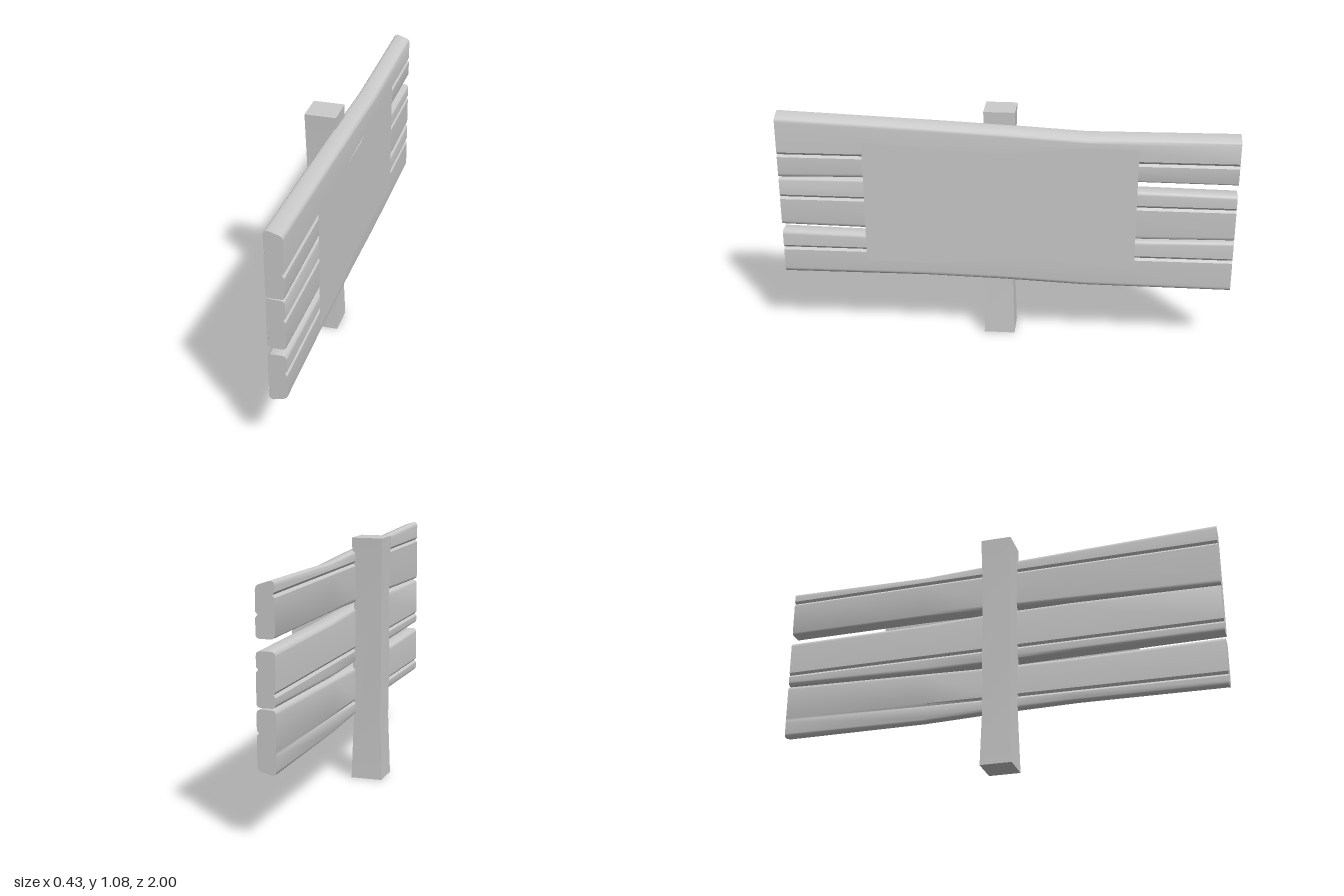
import * as THREE from 'three';
import { toCreasedNormals } from 'three/addons/utils/BufferGeometryUtils.js';

const HALF = 0.0385; // half of the plank thickness
const STATIONS = [-1.008, -0.35, 0, 0.35, 1.008]; // along the plank

const material = new THREE.MeshStandardMaterial({ color: 0xcccccc });

// Rounded plank section with a V groove on the front (+x) and the back (-x)
function plankSection({ bottom, top, front, back, backDepth, tiltTop, tiltBottom }) {
  const r = 0.018, g = 0.011, d = 0.009;
  const s = new THREE.Shape();
  const fb = bottom + tiltBottom, ft = top - tiltTop;
  s.moveTo(-HALF + r, bottom);
  s.lineTo(HALF - r, fb - tiltBottom * 0.3);
  s.quadraticCurveTo(HALF, fb, HALF, fb + r);
  s.lineTo(HALF, front - g);
  s.lineTo(HALF - d, front);
  s.lineTo(HALF, front + g);
  s.lineTo(HALF, ft - r);
  s.quadraticCurveTo(HALF, ft, HALF - r, ft + tiltTop * 0.3);
  s.lineTo(-HALF + r, top);
  s.quadraticCurveTo(-HALF, top, -HALF, top - r);
  s.lineTo(-HALF, back + g);
  s.lineTo(-HALF + backDepth, back);
  s.lineTo(-HALF, back - g);
  s.lineTo(-HALF, bottom + r);
  s.quadraticCurveTo(-HALF, bottom, -HALF + r, bottom);
  const pts = s.getPoints(4);
  if (pts[0].distanceTo(pts[pts.length - 1]) < 1e-6) pts.pop();
  return pts;
}

// Joins counter-clockwise sections, ordered by rising z, into a closed solid
function loft(sections, zs) {
  const n = sections[0].length, pos = [], index = [];
  sections.forEach((ring, k) => ring.forEach((p) => pos.push(p.x, p.y, zs[k])));
  for (let k = 0; k < sections.length - 1; k++) {
    for (let i = 0; i < n; i++) {
      const a = k * n + i, b = k * n + ((i + 1) % n);
      index.push(a, b, b + n, a, b + n, a + n);
    }
  }
  const last = (sections.length - 1) * n;
  for (const [a, b, c] of THREE.ShapeUtils.triangulateShape(sections[0], [])) index.push(a, c, b);
  for (const [a, b, c] of THREE.ShapeUtils.triangulateShape(sections[sections.length - 1], [])) {
    index.push(last + a, last + b, last + c);
  }
  const geo = new THREE.BufferGeometry();
  geo.setAttribute('position', new THREE.Float32BufferAttribute(pos, 3));
  geo.setIndex(index);
  return toCreasedNormals(geo, 0.6);
}

// Edge heights at each station; groove heights run from the -z to the +z end
const PLANKS = [
  { name: 'topPlank', bottom: [0.8, 0.802, 0.797, 0.789, 0.773], top: [1.017, 1.01, 1.028, 1.042, 1.066],
    front: [0.89, 0.88], back: [0.965, 0.977], backStart: 0.009, tiltTop: 0.018, tiltBottom: 0 },
  { name: 'middlePlank', bottom: [0.538, 0.525, 0.53, 0.536, 0.544], top: [0.754, 0.762, 0.775, 0.778, 0.768],
    front: [0.683, 0.679], back: [0.59, 0.592], backStart: 0.009, tiltTop: 0, tiltBottom: 0 },
  { name: 'bottomPlank', bottom: [0.279, 0.28, 0.293, 0.3, 0.294], top: [0.532, 0.515, 0.505, 0.504, 0.513],
    front: [0.44, 0.43], back: [0.36, 0.345], backStart: 0, tiltTop: 0, tiltBottom: 0.016 },
];

function makePlank(spec) {
  const sections = STATIONS.map((z, k) => {
    const t = (z - STATIONS[0]) / (2 * STATIONS[4]);
    return plankSection({
      bottom: spec.bottom[k],
      top: spec.top[k],
      front: THREE.MathUtils.lerp(...spec.front, t),
      back: THREE.MathUtils.lerp(...spec.back, t),
      backDepth: THREE.MathUtils.lerp(spec.backStart, 0.009, Math.min(1, t * 2)),
      tiltTop: spec.tiltTop,
      tiltBottom: spec.tiltBottom,
    });
  });
  const mesh = new THREE.Mesh(loft(sections, STATIONS), material);
  mesh.name = spec.name;
  return mesh;
}

// Square post, slightly waisted along its height
function makePost() {
  const height = 1.084, half = [0.07, 0.062, 0.065, 0.062, 0.069];
  const geo = new THREE.BoxGeometry(2, height, 2, 1, half.length - 1, 1);
  geo.translate(0, height / 2, 0);
  const p = geo.attributes.position;
  for (let i = 0; i < p.count; i++) {
    const h = half[Math.round((p.getY(i) / height) * (half.length - 1))];
    p.setX(i, p.getX(i) * h);
    p.setZ(i, p.getZ(i) * h);
  }
  const mesh = new THREE.Mesh(toCreasedNormals(geo, 0.5), material);
  mesh.name = 'post';
  mesh.position.set(-0.092, 0, 0.031);
  return mesh;
}

// Thin sheet with wavy long edges, hung just in front of the planks
function makeSheet() {
  const outline = [
    [-0.625, 0.39], [-0.32, 0.386], [0, 0.425], [0.32, 0.413], [0.576, 0.39],
    [0.576, 0.96], [0.34, 0.962], [0, 0.924], [-0.3, 0.935], [-0.625, 0.958],
  ];
  const shape = new THREE.Shape(outline.map(([u, v]) => new THREE.Vector2(u, v)));
  const mat = material.clone();
  mat.side = THREE.DoubleSide;
  const mesh = new THREE.Mesh(new THREE.ShapeGeometry(shape), mat);
  mesh.name = 'noticeSheet';
  mesh.rotation.y = Math.PI / 2;
  mesh.position.x = 0.0565;
  return mesh;
}

export function createModel() {
  const group = new THREE.Group();
  group.name = 'signpost';
  const sign = new THREE.Group();
  sign.name = 'sign';
  sign.add(makePost(), ...PLANKS.map(makePlank), makeSheet());
  sign.rotation.y = 0.178; // the whole sign is turned a little
  group.add(sign);
  return group;
}
